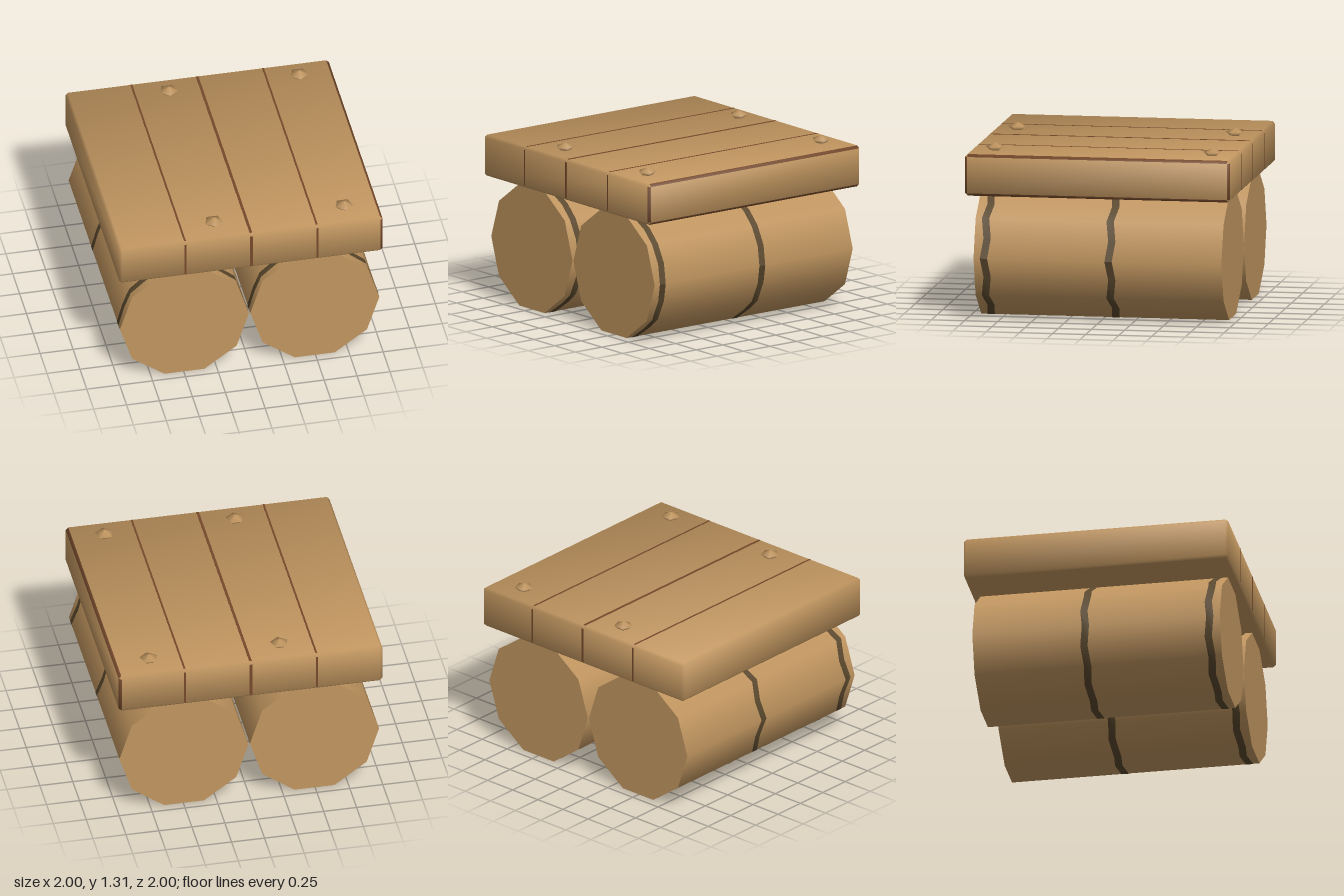
import * as THREE from 'three';

const wood = new THREE.MeshStandardMaterial({ color: 0xc0955f });
wood.name = 'wood';
const seamBrown = new THREE.MeshStandardMaterial({ color: 0x75492b });
seamBrown.name = 'seam brown';
const bandBrown = new THREE.MeshStandardMaterial({ color: 0x5a482d, side: THREE.DoubleSide });
bandBrown.name = 'band brown';

const LOG_R = 0.49, LOG_Y = 0.466, LOG_X = 0.495;
const DECK_BOTTOM = 0.937, DECK_TOP = 1.25, BEVEL = 0.02;

function add(parent, name, geometry, material, x = 0, y = 0, z = 0) {
  const mesh = new THREE.Mesh(geometry, material);
  mesh.name = name;
  mesh.position.set(x, y, z);
  parent.add(mesh);
  return mesh;
}

// Bevelled slab with softened normals; the bevels framing its +x side are dark
function deckGeometry() {
  const a = 1 - BEVEL, soft = 0.43;
  const positions = [], normals = [], index = [[], []];
  const corners = [[1, 1], [1, -1], [-1, -1], [-1, 1]];
  const levels = [[DECK_BOTTOM, -1, true], [DECK_BOTTOM + BEVEL, -1, false],
    [DECK_TOP - BEVEL, 1, false], [DECK_TOP, 1, true]];
  // each ring has two points per corner: order runs +z side, +x side, -z side, -x side
  for (const [y, sy, flat] of levels) {
    corners.forEach(([sx, sz], k) => {
      for (const j of [0, 1]) {
        const onX = (k + j) % 2 === 1;
        const ox = !flat && onX, oz = !flat && !onX;
        positions.push(sx * (ox ? 1 : a), y, sz * (oz ? 1 : a));
        const n = new THREE.Vector3(sx * (ox ? 1 : soft), sy * (flat ? 1 : soft), sz * (oz ? 1 : soft)).normalize();
        normals.push(n.x, n.y, n.z);
      }
    });
  }
  for (let r = 0; r < 3; r++) {
    for (let i = 0; i < 8; i++) {
      const p = r * 8 + i, q = r * 8 + (i + 1) % 8;
      const dark = r === 1 ? (i === 0 || i === 2) : i === 1;
      index[dark ? 1 : 0].push(p, q, q + 8, p, q + 8, p + 8);
    }
  }
  index[0].push(24, 26, 28, 24, 28, 30, 0, 4, 2, 0, 6, 4);
  const g = new THREE.BufferGeometry();
  g.setAttribute('position', new THREE.Float32BufferAttribute(positions, 3));
  g.setAttribute('normal', new THREE.Float32BufferAttribute(normals, 3));
  g.setIndex([...index[0], ...index[1]]);
  g.addGroup(0, index[0].length, 0);
  g.addGroup(index[0].length, index[1].length, 1);
  return g;
}

// Thin wavy ring that follows the ten sides of a log
function bandGeometry(width) {
  const positions = [], index = [];
  const n = 20, r = LOG_R + 0.002;
  for (let i = 0; i <= n; i++) {
    const t = (i / n) * Math.PI * 2;
    const radius = i % 2 ? r * Math.cos(Math.PI / 10) : r;
    const wave = i % 2 ? -0.01 : 0.01;
    for (const s of [-1, 1]) {
      positions.push(radius * Math.cos(t), radius * Math.sin(t), wave + s * width / 2);
    }
    if (i < n) {
      const p = i * 2;
      index.push(p, p + 2, p + 3, p, p + 3, p + 1);
    }
  }
  const g = new THREE.BufferGeometry();
  g.setAttribute('position', new THREE.Float32BufferAttribute(positions, 3));
  g.setIndex(index);
  g.computeVertexNormals();
  return g;
}

export function createModel() {
  const model = new THREE.Group();
  model.name = 'woodenPlatform';

  // Two ten-sided logs, each with two painted bands
  const logGeometry = new THREE.CylinderGeometry(LOG_R, LOG_R, 1.87, 10, 1, false, Math.PI / 2).rotateX(Math.PI / 2);
  const band = bandGeometry(0.055);
  for (const side of [-1, 1]) {
    const log = new THREE.Group();
    log.name = side > 0 ? 'leftLog' : 'rightLog';
    log.position.set(side * LOG_X, LOG_Y, 0);
    add(log, 'logBody', logGeometry, wood);
    for (const z of [0.85, -0.09]) add(log, 'logBand', band, bandBrown, 0, 0, z);
    model.add(log);
  }

  // Deck
  add(model, 'deck', deckGeometry(), [wood, seamBrown]);

  // Seams between the boards, on the top, front and back
  const midY = (DECK_BOTTOM + DECK_TOP) / 2;
  for (const x of [-0.5, 0, 0.5]) {
    const w = x === 0 ? 0.02 : 0.014;
    add(model, 'topSeam', new THREE.BoxGeometry(w, 0.004, 1.96), seamBrown, x, DECK_TOP, 0);
    for (const z of [-1, 1]) {
      add(model, 'endSeam', new THREE.BoxGeometry(w, 0.273, 0.004), seamBrown, x, midY, z);
    }
  }

  // Five-sided pegs near the deck corners
  const pegProfile = [[0.035, -0.005], [0.07, 0.027], [0, 0.055]].map(p => new THREE.Vector2(...p));
  const pegGeometry = new THREE.LatheGeometry(pegProfile, 5);
  for (const x of [-0.25, 0.74]) {
    for (const z of [-0.825, 0.815]) add(model, 'peg', pegGeometry, wood, x, DECK_TOP, z);
  }
  return model;
}
